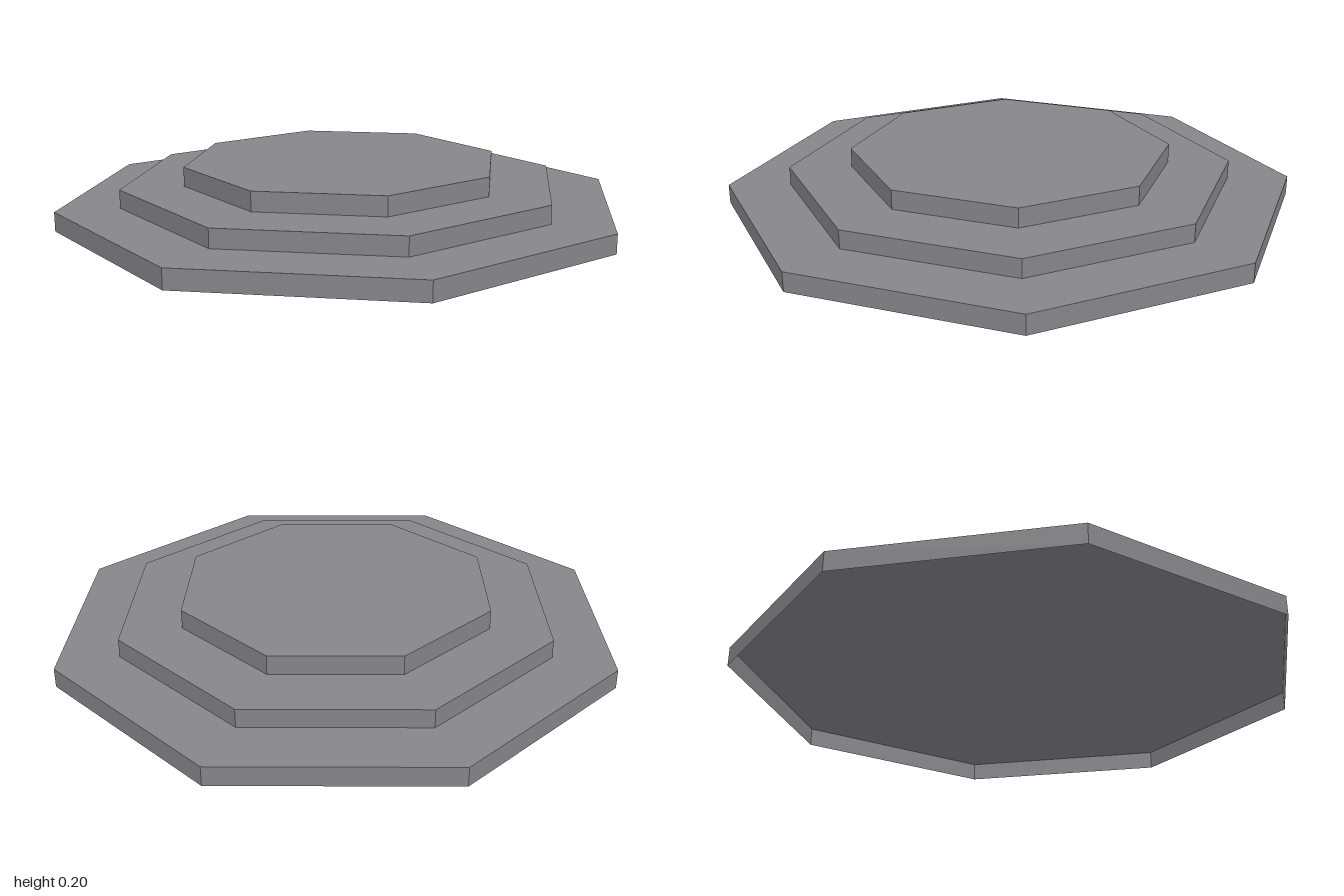
import * as THREE from 'three';

export function createModel() {
  const model = new THREE.Group();
  model.name = 'octagonalSteps';

  const stone = new THREE.MeshStandardMaterial({
    color: 0x85858a, flatShading: true, side: THREE.DoubleSide,
  });
  stone.name = 'grey stone';

  // One tier: eight side walls and a flat top, open underneath
  function addTier(name, radius, bottom, top) {
    const profile = [[radius, bottom], [radius, top], [0, top]]
      .map(([x, y]) => new THREE.Vector2(x, y));
    const geometry = new THREE.LatheGeometry(profile, 8).toNonIndexed();
    geometry.computeVertexNormals();
    const tier = new THREE.Mesh(geometry, stone);
    tier.name = name;
    model.add(tier);
  }

  addTier('lowerStep', 1, 0, 0.067);
  addTier('middleStep', 0.782, 0.067, 0.131);
  addTier('upperStep', 0.563, 0.131, 0.198);

  return model;
}
